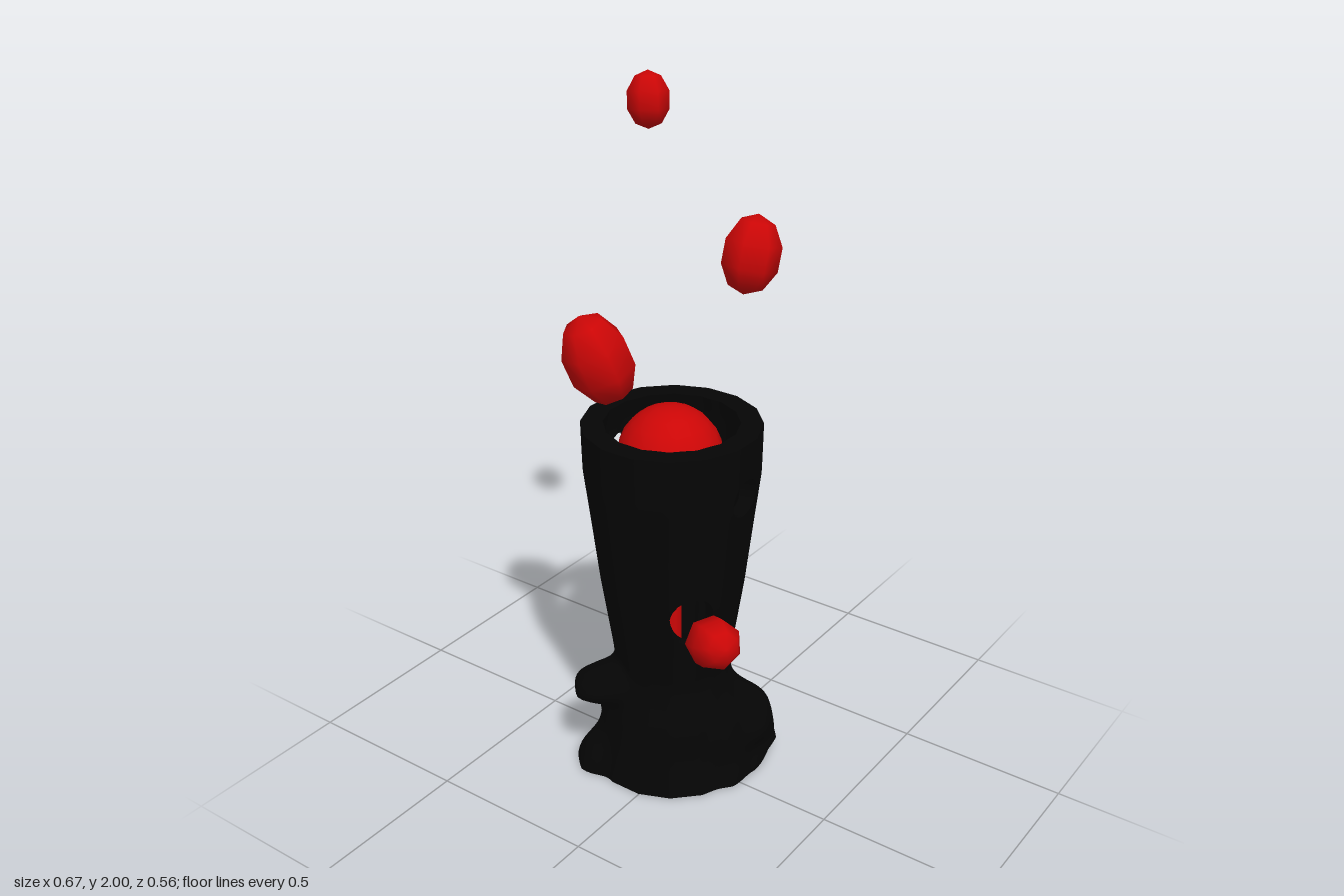
import * as THREE from 'three';

const CENTRE = [-0.05, -0.022];
const HEIGHT = 1.1, AROUND = 96, UP = 72, SIDES = 16;
const rad = THREE.MathUtils.degToRad;

// Wall profile: [height, outer radius, wall thickness]
const PROFILE = [
  [0, 0.24, 0.015], [0.1, 0.217, 0.02], [0.2, 0.2, 0.025], [0.28, 0.176, 0.03],
  [0.33, 0.165, 0.032], [0.45, 0.182, 0.035], [0.6, 0.204, 0.038], [0.8, 0.227, 0.042],
  [0.95, 0.245, 0.045], [1.04, 0.247, 0.048], [1.1, 0.248, 0.062],
];

// Rocky lumps of the foot: [azimuth, height, bulge, angular spread, vertical spread]
const LUMPS = [
  [126, 0.13, 0.085, 20, 0.085], [126, 0, 0.04, 18, 0.05], [209, 0, 0.042, 14, 0.09],
  [261, 0.12, 0.058, 18, 0.08], [261, 0, 0.022, 18, 0.05], [322, 0.285, 0.118, 18, 0.047],
  [318, 0, 0.05, 16, 0.08], [92, 0, 0.02, 15, 0.06], [92, 0.15, 0.028, 16, 0.07],
];

// Vent holes: [azimuth, height, half width, half height]
const HOLES = [
  [52, 0.57, 0.066, 0.08], [201, 0.71, 0.068, 0.066],
  [91, 0.935, 0.056, 0.056], [265, 0.925, 0.063, 0.08],
];

const angleGap = (a, b) => Math.atan2(Math.sin(a - b), Math.cos(a - b));

function profileAt(y) {
  let i = 0;
  while (i < PROFILE.length - 2 && y > PROFILE[i + 1][0]) i++;
  const [y0, r0, t0] = PROFILE[i], [y1, r1, t1] = PROFILE[i + 1];
  const k = (y - y0) / (y1 - y0);
  return [r0 + (r1 - r0) * k, t0 + (t1 - t0) * k];
}

// Point on the outer (side 0) or inner (side 1) wall surface
function wallPoint(phi, y, side) {
  const [radius, thickness] = profileAt(y);
  const step = (Math.PI * 2) / SIDES;
  let r = radius / Math.cos(phi - Math.round(phi / step) * step) - side * thickness;
  for (const [az, ly, amp, sa, sy] of LUMPS) {
    const da = angleGap(phi, rad(az)) / rad(sa), dy = (y - ly) / sy;
    r += amp * Math.exp(-0.5 * (da * da + dy * dy) ** 2);
  }
  return [CENTRE[0] + r * Math.sin(phi), y, CENTRE[1] + r * Math.cos(phi)];
}

// Grid node, pushed out to the rim when it falls inside a vent hole
function gridNode(i, j) {
  let phi = (i / AROUND) * Math.PI * 2, y = (j / UP) * HEIGHT, hole = -1;
  HOLES.forEach(([az, hy, w, h], n) => {
    const r = profileAt(hy)[0];
    const u = angleGap(phi, rad(az)) * r / w, v = (y - hy) / h, d = Math.hypot(u, v);
    if (d >= 1) return;
    hole = n;
    const k = 1 / Math.max(d, 1e-4);
    phi = rad(az) + u * k * w / r;
    y = hy + v * k * h;
  });
  return { phi, y, hole };
}

function toGeometry(positions, index) {
  const g = new THREE.BufferGeometry();
  g.setAttribute('position', new THREE.Float32BufferAttribute(positions, 3));
  g.setIndex(index);
  g.computeVertexNormals();
  return g;
}

function chimneyGeometries() {
  const nodes = [];
  for (let j = 0; j <= UP; j++) for (let i = 0; i < AROUND; i++) nodes.push(gridNode(i, j));
  const id = (i, j) => j * AROUND + ((i + AROUND) % AROUND);
  const corners = (i, j) => [id(i, j), id(i + 1, j), id(i + 1, j + 1), id(i, j + 1)];
  const solid = (i, j) => j >= 0 && j < UP && !corners(i, j).every((n) => nodes[n].hole >= 0);
  const outer = [], inner = [], rimPos = [], rimIdx = [];

  for (let j = 0; j < UP; j++) for (let i = 0; i < AROUND; i++) {
    if (!solid(i, j)) continue;
    const [a, b, c, d] = corners(i, j);
    outer.push(a, b, c, a, c, d);
    inner.push(a, c, b, a, d, c);
    // Wall thickness along every open edge: holes, top and foot
    const edges = [[a, b, i, j - 1], [b, c, i + 1, j], [c, d, i, j + 1], [d, a, i - 1, j]];
    for (const [p, q, ni, nj] of edges) {
      if (solid(ni, nj)) continue;
      const s = rimPos.length / 3;
      for (const [n, side] of [[p, 0], [q, 0], [q, 1], [p, 1]]) {
        rimPos.push(...wallPoint(nodes[n].phi, nodes[n].y, side));
      }
      rimIdx.push(s, s + 2, s + 1, s, s + 3, s + 2);
    }
  }
  const surface = (side) => nodes.flatMap((n) => wallPoint(n.phi, n.y, side));
  return {
    outerWall: toGeometry(surface(0), outer),
    innerWall: toGeometry(surface(1), inner),
    wallEdges: toGeometry(rimPos, rimIdx),
  };
}

export function createModel() {
  const model = new THREE.Group();
  const black = new THREE.MeshStandardMaterial({ color: 0x050505, side: THREE.DoubleSide });
  const red = new THREE.MeshStandardMaterial({ color: 0xcc0606 });
  const add = (parent, name, geometry, material, x = 0, y = 0, z = 0) => {
    const mesh = new THREE.Mesh(geometry, material);
    mesh.name = name;
    mesh.position.set(x, y, z);
    parent.add(mesh);
    return mesh;
  };

  // Hollow rock chimney with vents
  const chimney = new THREE.Group();
  chimney.name = 'chimney';
  model.add(chimney);
  for (const [name, g] of Object.entries(chimneyGeometries())) add(chimney, name, g, black);

  // Molten core: thin stem carrying a ball at the mouth
  add(model, 'lavaStem', new THREE.CylinderGeometry(0.032, 0.032, 0.9, 12), red, -0.055, 0.45, -0.02);
  add(model, 'lavaBall', new THREE.SphereGeometry(0.15, 16, 12), red, -0.055, 0.996, -0.02);

  // Flying drops: position, long axis, half width, half length
  const drops = [
    [[-0.25, 1.925, -0.195], [-0.1, 1, -0.12], 0.061, 0.077],
    [[0.108, 1.575, -0.16], [0.05, 1, -0.25], 0.082, 0.108],
    [[-0.19, 1.3, 0.118], [-0.25, 1, 0.3], 0.096, 0.137],
    [[0.243, 0.607, 0.195], [0.75, 0.35, 0.5], 0.074, 0.1],
  ];
  const up = new THREE.Vector3(0, 1, 0);
  drops.forEach(([p, axis, w, l], n) => {
    const drop = add(model, `lavaDrop${n + 1}`, new THREE.SphereGeometry(1, 7, 5), red, ...p);
    drop.scale.set(w, l, w);
    drop.quaternion.setFromUnitVectors(up, new THREE.Vector3(...axis).normalize());
  });
  return model;
}
